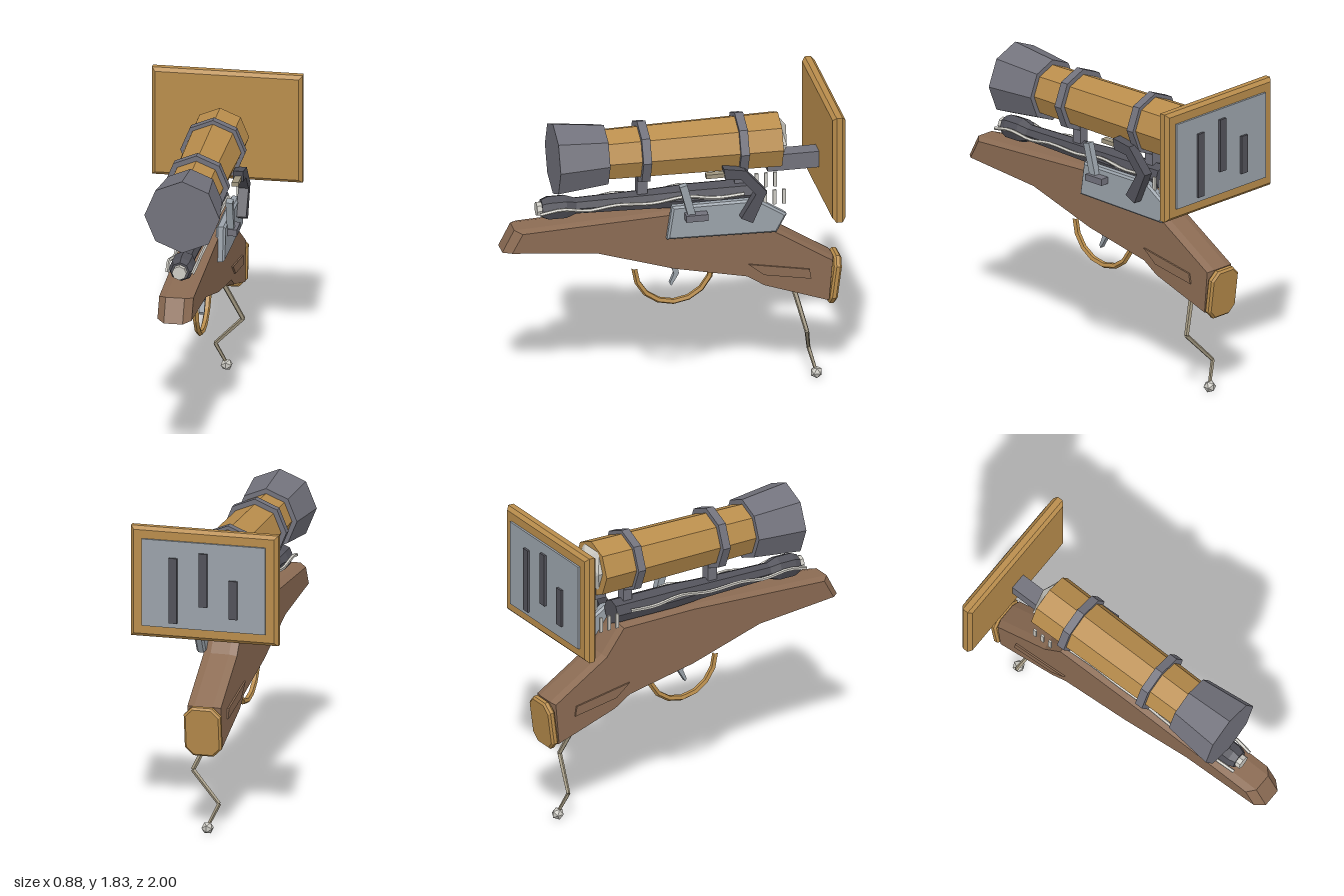
import * as THREE from 'three';

const mat = (name, color) => {
  const m = new THREE.MeshStandardMaterial({ color, flatShading: true });
  m.name = name;
  return m;
};

export function createModel() {
  const root = new THREE.Group();
  root.name = 'scopedPistol';
  const wood = mat('wood', 0x8b6b53);
  const brass = mat('brass', 0xb98d4c);
  const steel = mat('steel', 0x72727c);
  const darkSteel = mat('darkSteel', 0x52525a);
  const plate = mat('plateGrey', 0x9aa2aa);
  const pale = mat('paleMetal', 0xcdcbc4);
  const bone = mat('bone', 0xa0967f);

  const add = (name, geo, material, x = 0, y = 0, z = 0) => {
    const mesh = new THREE.Mesh(geo, material);
    mesh.name = name;
    mesh.position.set(x, y, z);
    root.add(mesh);
    return mesh;
  };
  const box = (name, material, w, h, d, x, y, z) =>
    add(name, new THREE.BoxGeometry(w, h, d), material, x, y, z);
  // octagonal tube along z
  const tubeZ = (name, material, rFront, rBack, z0, z1, y) =>
    add(name, new THREE.CylinderGeometry(rFront, rBack, z0 - z1, 8).rotateX(Math.PI / 2),
      material, 0, y, (z0 + z1) / 2);
  const extrude = (pts, depth, thick, size) => new THREE.ExtrudeGeometry(
    new THREE.Shape(pts.map(([a, b]) => new THREE.Vector2(a, b))), {
      depth: depth - 2 * thick, bevelEnabled: thick > 0, bevelThickness: thick,
      bevelSize: size, bevelOffset: -size, bevelSegments: 1,
    }).translate(0, 0, thick);
  // side outline given as [z, y], extruded across x from x0 to x1
  const sideGeo = (pts, x0, x1, thick = 0, size = 0) =>
    extrude(pts.map(([z, y]) => [-z, y]), x1 - x0, thick, size)
      .rotateY(Math.PI / 2).translate(x0, 0, 0);
  const rod = (name, material, a, b, ra, rb, sides) => {
    const dir = b.clone().sub(a);
    const m = add(name, new THREE.CylinderGeometry(rb, ra, dir.length(), sides), material);
    m.position.copy(a).addScaledVector(dir, 0.5);
    m.quaternion.setFromUnitVectors(new THREE.Vector3(0, 1, 0), dir.normalize());
  };

  // Stock, with the corners of its nose cut back
  const stockGeo = sideGeo([[1, 1], [0.93, 1.135], [0, 1.175], [-0.48, 1.17], [-0.6, 1.01],
    [-0.95, 0.79], [-0.925, 0.52], [-0.53, 0.655], [-0.43, 0.72], [0, 0.81], [0.45, 0.95]],
  -0.1, 0.1, 0.045, 0.012);
  const p = stockGeo.attributes.position;
  for (let i = 0; i < p.count; i++)
    if (Math.abs(p.getX(i)) > 0.09 && p.getZ(i) > 0.85) p.setZ(i, p.getZ(i) - 0.035);
  stockGeo.computeVertexNormals();
  add('stock', stockGeo, wood);

  // Raised cheek panels
  const panel = [[-0.44, 0.81], [-0.8, 0.745], [-0.81, 0.685], [-0.53, 0.735]];
  add('leftPanel', sideGeo(panel, 0.095, 0.11), wood);
  add('rightPanel', sideGeo(panel, -0.11, -0.095), wood);

  // Butt plate with clipped corners
  const butt = add('buttPlate', extrude([[-0.11, -0.1], [-0.06, -0.15], [0.06, -0.15], [0.11, -0.1],
    [0.11, 0.1], [0.06, 0.15], [-0.06, 0.15], [-0.11, 0.1]], 0.045, 0.012, 0.012)
    .translate(0, 0, -0.0225), brass, 0, 0.645, -0.957);
  butt.rotation.x = -0.13;

  // Trigger guard and trigger
  add('triggerGuard', new THREE.TorusGeometry(0.23, 0.018, 5, 8, Math.PI)
    .rotateZ(Math.PI).rotateY(Math.PI / 2), brass, 0, 0.8, -0.02);
  add('trigger', sideGeo([[0.01, 0.83], [-0.035, 0.83], [-0.05, 0.75], [-0.005, 0.675],
    [0.005, 0.69], [-0.02, 0.75]], -0.015, 0.015), plate);

  // Lock plate, flash pan, striker and hammer
  add('lockPlate', sideGeo([[0.045, 1.025], [0.015, 1.23], [-0.49, 1.23], [-0.66, 1.12],
    [-0.6, 1.01]], 0.085, 0.14, 0.012, 0.012), plate);
  box('flashPan', steel, 0.08, 0.04, 0.13, 0.155, 1.17, -0.12);
  box('striker', plate, 0.04, 0.21, 0.045, 0.155, 1.27, -0.07).rotation.x = 0.26;
  add('hammer', sideGeo([[-0.276, 1.467], [-0.405, 1.445], [-0.53, 1.3], [-0.447, 1.11],
    [-0.378, 1.145], [-0.465, 1.29], [-0.378, 1.39], [-0.285, 1.4]], 0.135, 0.195), darkSteel);
  box('flint', bone, 0.04, 0.025, 0.11, 0.165, 1.423, -0.23);

  // Lower barrel with swollen muzzle
  const barrel = [[0, 0.76], [0.055, 0.76], [0.072, 0.72], [0.072, 0.62], [0.05, 0.56],
    [0.062, 0.1], [0.074, -0.1], [0.074, -0.5], [0, -0.5]];
  add('barrel', new THREE.LatheGeometry(barrel.map(([r, z]) => new THREE.Vector2(r, z)).reverse(), 8)
    .rotateX(Math.PI / 2), darkSteel, 0, 1.232, 0);
  tubeZ('muzzleInsert', pale, 0.042, 0.042, 0.79, 0.72, 1.232);

  // Wavy wires and cooling fins on both sides
  for (const s of [-1, 1]) {
    const path = [[0.78, 1.225], [0.65, 1.25], [0.5, 1.225], [0.33, 1.25], [0.12, 1.235],
      [-0.08, 1.265], [-0.25, 1.235], [-0.42, 1.25]]
      .map(([z, y], i) => new THREE.Vector3(s * (0.073 + (i % 2) * 0.012), y, z));
    add('wire', new THREE.TubeGeometry(new THREE.CatmullRomCurve3(path), 24, 0.011, 5), pale);
    for (const z of [-0.535, -0.59, -0.645])
      box('fin', pale, 0.012, 0.09, 0.02, s * 0.12, 1.23, z);
  }

  // Scope: body, flared hood, bands with posts, eyepiece
  const sy = 1.54;
  tubeZ('scopeBody', brass, 0.155, 0.17, 0.4, -0.635, sy);
  tubeZ('scopeHood', steel, 0.22, 0.185, 0.69, 0.39, sy);
  for (const z of [0.17, -0.405]) {
    tubeZ('scopeBand', steel, 0.19, 0.19, z + 0.025, z - 0.025, sy);
    box('scopePost', steel, 0.06, 0.14, 0.06, 0, 1.32, z);
  }
  add('eyepiece', new THREE.IcosahedronGeometry(0.145, 0).scale(1, 1, 0.42), pale, 0, 1.55, -0.63);

  // Display on its arm
  box('displayArm', steel, 0.1, 0.1, 0.32, 0, 1.41, -0.725);
  add('displayFrame', extrude([[-0.44, 1.18], [0.44, 1.18], [0.44, 1.84], [-0.44, 1.84]],
    0.075, 0.02, 0.02).translate(0, 0, -0.943), brass);
  box('displayPanel', plate, 0.74, 0.52, 0.02, 0, 1.51, -0.946);
  for (const [x, y0, y1] of [[0.18, 1.28, 1.67], [0, 1.39, 1.71], [-0.18, 1.33, 1.56]])
    box('displayBar', darkSteel, 0.05, y1 - y0, 0.016, x, (y0 + y1) / 2, -0.962);

  // Crooked tail with a faceted ball
  const tail = [[0, 0.6, -0.725], [0.11, 0.36, -0.782], [-0.06, 0.18, -0.828], [0, 0.05, -0.86]]
    .map((v) => new THREE.Vector3(...v));
  for (let i = 0; i < 3; i++)
    rod('tailSegment', bone, tail[i], tail[i + 1], 0.016 - i * 0.002, 0.014 - i * 0.002, 5);
  add('tailBall', new THREE.IcosahedronGeometry(0.037, 0), pale, 0, 0.04, -0.862);

  return root;
}
